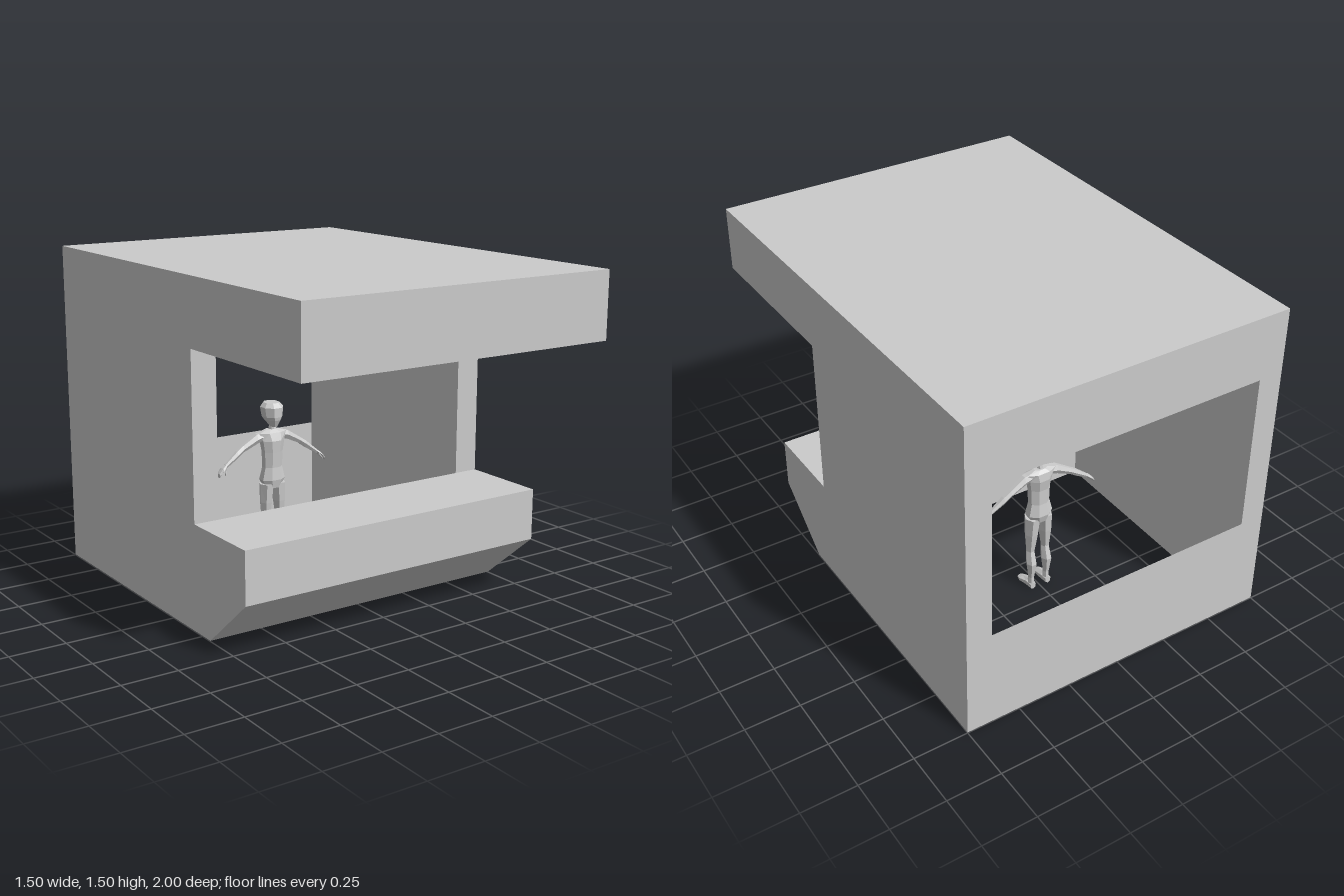
import * as THREE from 'three';

const SIDES = 8;

// Flat-shaded body through elliptical sections [x, y, z, a, b] running up one axis.
// a and b are the half sizes along the two other axes (y: z,x  x: y,z  z: x,y).
function loft(axis, sections, sides = SIDES) {
  const [u, v] = { y: [2, 0], x: [1, 2], z: [0, 1] }[axis];
  const pos = [], idx = [];
  for (const [x, y, z, a, b] of sections) {
    for (let i = 0; i < sides; i++) {
      const t = ((i + 0.5) / sides) * Math.PI * 2, k = 1 / Math.cos(Math.PI / sides);
      const p = [x, y, z];
      p[u] += a * k * Math.cos(t);
      p[v] += b * k * Math.sin(t);
      pos.push(...p);
    }
  }
  const last = (sections.length - 1) * sides;
  for (let r = 0; r < last; r += sides) {
    for (let i = 0; i < sides; i++) {
      const j = (i + 1) % sides;
      idx.push(r + i, r + j, r + sides + j, r + i, r + sides + j, r + sides + i);
    }
  }
  for (let i = 1; i < sides - 1; i++) {
    idx.push(0, i + 1, i, last, last + i, last + i + 1);
  }
  const g = new THREE.BufferGeometry();
  g.setAttribute('position', new THREE.Float32BufferAttribute(pos, 3));
  g.setIndex(idx);
  g.computeVertexNormals();
  return g;
}

// Side profile of [z, y] points swept along x between x0 and x1.
function sweep(points, x0, x1) {
  const shape = new THREE.Shape(points.map(([z, y]) => new THREE.Vector2(z, y)));
  const g = new THREE.ExtrudeGeometry(shape, { depth: x1 - x0, bevelEnabled: false });
  return g.rotateY(-Math.PI / 2).translate(x1, 0, 0);
}

export function createModel() {
  const model = new THREE.Group();
  model.name = 'boothWithFigure';
  const mat = new THREE.MeshStandardMaterial({ color: 0xcccccc, flatShading: true });
  const sheet = new THREE.MeshStandardMaterial({ color: 0xcccccc, side: THREE.DoubleSide });
  const add = (parent, name, geometry, material = mat) => {
    const mesh = new THREE.Mesh(geometry, material);
    mesh.name = name;
    parent.add(mesh);
    return mesh;
  };

  // Booth: side walls carry the full silhouette, roof and counter span between them
  const W = 0.75, IN = 0.635, ROOF = 1.205, SILL = 0.472;
  const booth = new THREE.Group();
  booth.name = 'booth';
  model.add(booth);
  const nose = [[0.315, 0], [0.6, 0.24], [0.6, SILL], [0.2, SILL]];
  const side = [[-1, 0], ...nose, [0.2, ROOF], [1, ROOF], [1, 1.5], [-1, 1.5]];
  add(booth, 'leftWall', sweep(side, IN, W));
  add(booth, 'rightWall', sweep(side, -W, -IN));
  add(booth, 'roof', sweep([[-1, ROOF], [1, ROOF], [1, 1.5], [-1, 1.5]], -IN, IN));
  add(booth, 'counter', sweep([[0.2, 0], ...nose], -IN, IN));

  // Thin panel below the rear window; the floor stays open
  const panel = new THREE.PlaneGeometry(2 * IN, SILL).rotateY(Math.PI).translate(0, SILL / 2, -1);
  add(booth, 'backPanel', panel, sheet);

  // Standing figure
  const figure = new THREE.Group();
  figure.name = 'figure';
  figure.position.z = -0.39;
  model.add(figure);

  add(figure, 'head', loft('y', [
    [0, 0.667, 0.018, 0.02, 0.014],
    [0, 0.70, 0.008, 0.045, 0.036],
    [0, 0.715, 0.003, 0.053, 0.044],
    [0, 0.76, 0, 0.056, 0.05],
    [0, 0.78, -0.004, 0.04, 0.034],
  ]));
  add(figure, 'neck', loft('y', [[0, 0.635, -0.006, 0.014, 0.013], [0, 0.685, 0, 0.012, 0.011]], 6));
  add(figure, 'torso', loft('y', [
    [0, 0.37, 0, 0.034, 0.04],
    [0, 0.41, -0.002, 0.044, 0.06],
    [0, 0.47, 0, 0.036, 0.046],
    [0, 0.545, 0.002, 0.038, 0.049],
    [0, 0.60, 0, 0.044, 0.058],
    [0, 0.637, -0.004, 0.034, 0.073],
    [0, 0.651, -0.006, 0.018, 0.032],
  ]));

  // Limbs, mirrored for both sides
  for (const s of [1, -1]) {
    const limb = (name, geometry) => {
      add(figure, (s > 0 ? 'left' : 'right') + name, geometry).scale.x = s;
    };
    limb('Arm', loft('x', [
      [0.05, 0.622, -0.004, 0.02, 0.02],
      [0.085, 0.613, -0.004, 0.022, 0.02],
      [0.155, 0.575, -0.008, 0.016, 0.015],
      [0.19, 0.551, -0.006, 0.017, 0.015],
      [0.255, 0.504, -0.002, 0.01, 0.009],
    ], 6));
    limb('Hand', loft('x', [
      [0.25, 0.508, -0.002, 0.008, 0.009],
      [0.272, 0.49, 0, 0.01, 0.019],
      [0.292, 0.468, 0.002, 0.009, 0.014],
    ], 6));
    limb('Thumb', loft('x', [
      [0.258, 0.494, 0.012, 0.006, 0.005],
      [0.27, 0.474, 0.026, 0.005, 0.004],
    ], 5));
    limb('Leg', loft('y', [
      [0.04, 0.02, -0.012, 0.016, 0.013],
      [0.04, 0.06, -0.012, 0.014, 0.012],
      [0.04, 0.14, -0.012, 0.025, 0.021],
      [0.039, 0.205, 0, 0.019, 0.017],
      [0.036, 0.30, 0, 0.03, 0.026],
      [0.032, 0.39, 0, 0.036, 0.03],
    ], 6));
    limb('Foot', loft('z', [
      [0.04, 0.016, -0.032, 0.013, 0.016],
      [0.04, 0.017, 0.005, 0.017, 0.017],
      [0.044, 0.011, 0.045, 0.021, 0.011],
      [0.045, 0.007, 0.07, 0.013, 0.007],
    ], 6));
  }
  return model;
}
